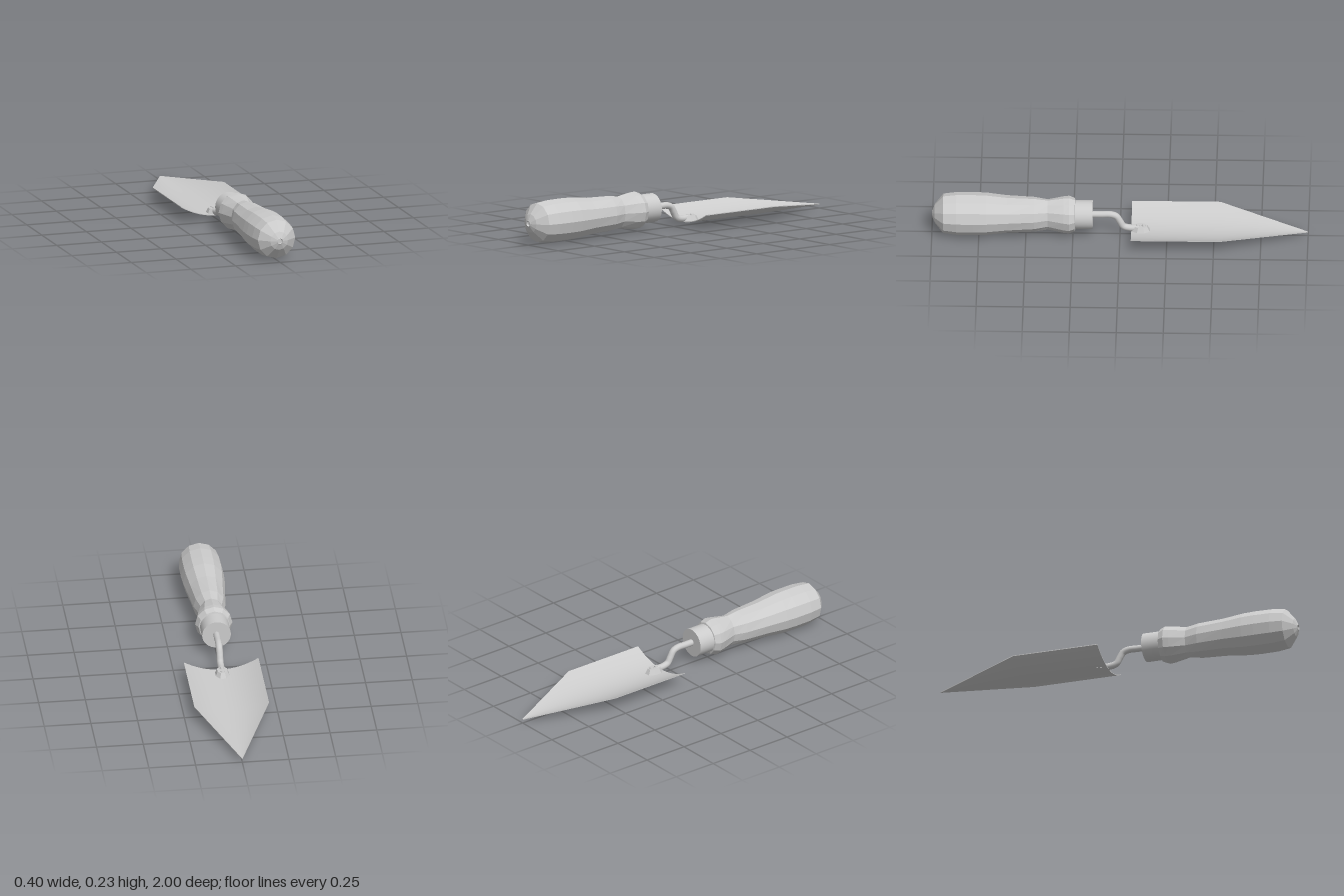
import * as THREE from 'three';
import { toCreasedNormals } from 'three/addons/utils/BufferGeometryUtils.js';

const AXIS_Y = 0.118; // height of the handle axis

export function createModel() {
  const model = new THREE.Group();
  const smooth = new THREE.MeshStandardMaterial({ color: 0xcccccc });
  const faceted = new THREE.MeshStandardMaterial({ color: 0xcccccc, flatShading: true });

  const add = (name, geometry, material = smooth) => {
    const mesh = new THREE.Mesh(geometry, material);
    mesh.name = name;
    model.add(mesh);
    return mesh;
  };

  // Twelve-sided grip: [z, vertical radius, horizontal radius], pinched sideways at the neck
  const rings = [
    [0.235, 0.07, 0.07], [0.24, 0.09, 0.085], [0.27, 0.101, 0.1], [0.3, 0.099, 0.093],
    [0.385, 0.086, 0.066], [0.455, 0.095, 0.086], [0.6, 0.1, 0.1], [0.71, 0.113, 0.112],
    [0.78, 0.115, 0.115], [0.87, 0.114, 0.114], [0.94, 0.105, 0.105], [0.985, 0.05, 0.05],
    [0.998, 0.018, 0.018], [1, 0.015, 0.015], [0.99, 0.013, 0.013], [0.99, 0, 0],
  ];
  const grip = new THREE.LatheGeometry(rings.map(([z, r]) => new THREE.Vector2(r, z)), 12);
  const pos = grip.attributes.position;
  for (let i = 0; i < pos.count; i++) {
    const [, ry, rx] = rings[i % rings.length];
    if (ry > 0) pos.setX(i, pos.getX(i) * rx / ry);
  }
  grip.rotateX(Math.PI / 2);
  add('handleGrip', grip, faceted).position.y = AXIS_Y;

  // Metal collar at the front of the grip
  const collar = new THREE.CylinderGeometry(0.077, 0.077, 0.1, 32).rotateX(Math.PI / 2);
  add('ferrule', collar).position.set(0, AXIS_Y + 0.002, 0.195);

  // Bent rod joining the collar to the blade
  const bend = new THREE.CatmullRomCurve3([
    [0.122, 0.17], [0.122, 0.1], [0.122, 0.05], [0.111, 0.02], [0.08, 0],
    [0.051, -0.018], [0.041, -0.05], [0.041, -0.1],
  ].map(([y, z]) => new THREE.Vector3(0, y, z)));
  add('neckRod', new THREE.TubeGeometry(bend, 36, 0.018, 12, false));

  add('blade', bladeGeometry());

  // Sloped mounting pad with two rivets
  const pad = new THREE.CylinderGeometry(0.68, 1, 0.03, 8).rotateY(Math.PI / 8);
  pad.scale(0.042, 1, 0.054);
  add('mountingPad', pad, faceted).position.set(0, 0.038, -0.11);
  for (const z of [-0.127, -0.095]) {
    const rivet = new THREE.CylinderGeometry(0.009, 0.012, 0.008, 12);
    add('rivet', rivet).position.set(0, 0.056, z);
  }
  return model;
}

// Curved thin blade: a closed dished section, straight at first, then narrowing to the tip
function bladeGeometry() {
  const stations = [[-0.06, 1], [-0.53, 1], [-1, 0.008]];
  const steps = 16, thickness = 0.004, loop = 2 * (steps + 1);
  const points = [], index = [];
  for (const [z, s] of stations) {
    for (let i = 0; i < loop; i++) {
      const upper = i <= steps;
      const t = (upper ? i : loop - 1 - i) / steps * 2 - 1; // -1..1 across the blade
      points.push(0.2 * s * t, 0.022 + 0.058 * s * t * t + (upper ? thickness : 0), z);
    }
  }
  for (let k = 0; k < stations.length - 1; k++) {
    for (let i = 0; i < loop; i++) {
      const a = k * loop + i, b = k * loop + (i + 1) % loop;
      index.push(a, b, b + loop, a, b + loop, a + loop);
    }
  }
  // End faces
  const last = (stations.length - 1) * loop;
  for (let i = 0; i < steps; i++) {
    const a = i, b = i + 1, c = loop - 2 - i, d = loop - 1 - i;
    index.push(a, d, c, a, c, b);
    index.push(last + a, last + c, last + d, last + a, last + b, last + c);
  }
  const geometry = new THREE.BufferGeometry();
  geometry.setAttribute('position', new THREE.Float32BufferAttribute(points, 3));
  geometry.setIndex(index);
  return toCreasedNormals(geometry, 0.5);
}
